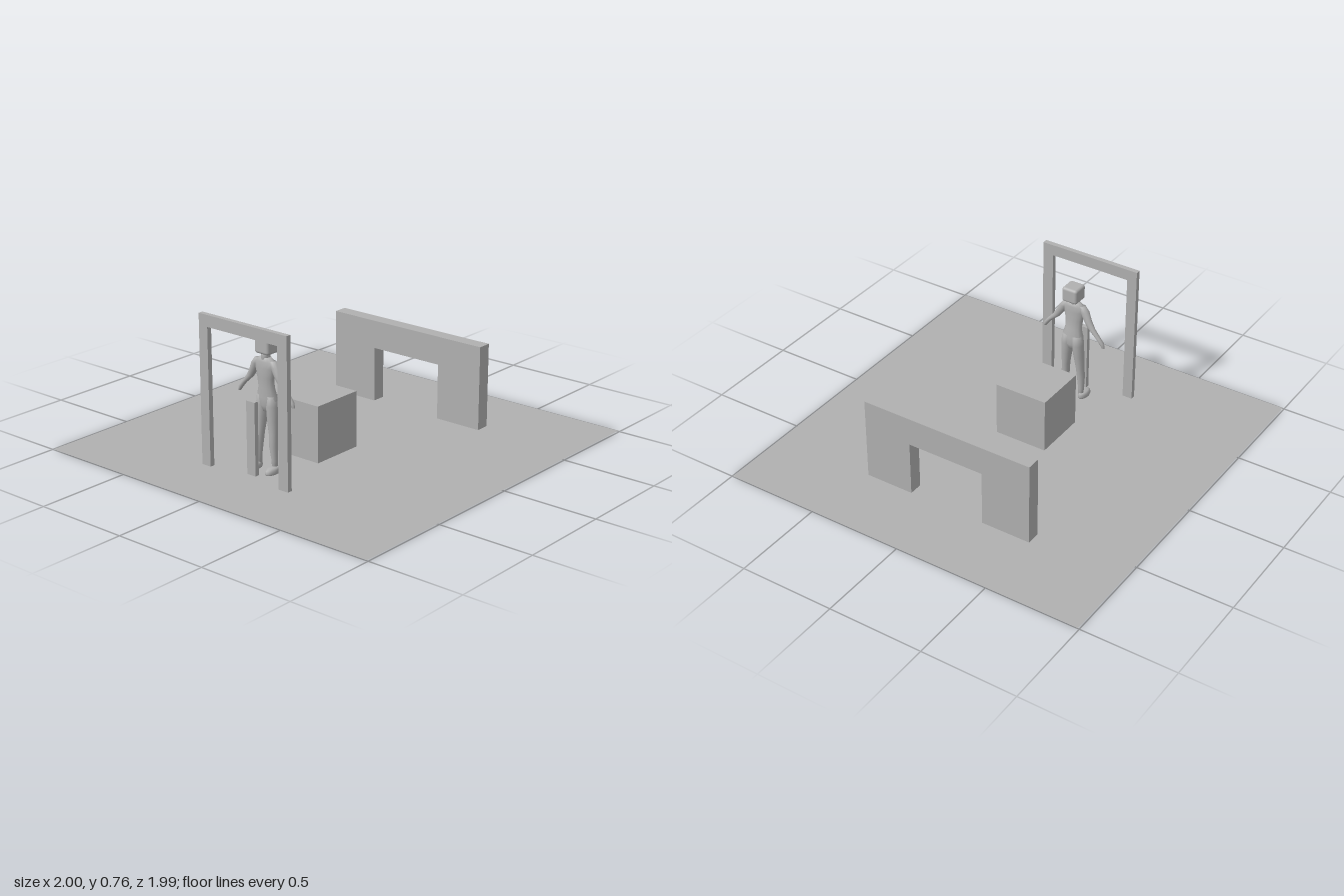
import * as THREE from 'three';
import { RoundedBoxGeometry } from 'three/addons/geometries/RoundedBoxGeometry.js';

const grey = new THREE.MeshStandardMaterial({ color: 0xb0b0b0, side: THREE.DoubleSide });
grey.name = 'plain grey';

function add(parent, name, geometry, x = 0, y = 0, z = 0) {
  const mesh = new THREE.Mesh(geometry, grey);
  mesh.name = name;
  mesh.position.set(x, y, z);
  parent.add(mesh);
  return mesh;
}

// Box given by its lower and upper corners
function block(parent, name, x0, x1, y0, y1, z0, z1) {
  const g = new THREE.BoxGeometry(x1 - x0, y1 - y0, z1 - z0);
  return add(parent, name, g, (x0 + x1) / 2, (y0 + y1) / 2, (z0 + z1) / 2);
}

// Doorway: outline in the z-y plane, extruded along x
function doorway(parent, name, x0, x1, z0, z1, top, in0, in1, inTop) {
  const pts = [[z0, 0], [in0, 0], [in0, inTop], [in1, inTop], [in1, 0], [z1, 0], [z1, top], [z0, top]];
  const shape = new THREE.Shape(pts.map(([z, y]) => new THREE.Vector2(-z, y)));
  const g = new THREE.ExtrudeGeometry(shape, { depth: x1 - x0, bevelEnabled: false });
  g.rotateY(Math.PI / 2);
  return add(parent, name, g, x0);
}

// Smooth limb through elliptical rings [x, y, z, rx, rz], listed from bottom to top
function loft(parent, name, rings, sides = 14) {
  const pos = [], idx = [];
  const all = [[...rings[0].slice(0, 3), 0, 0], ...rings, [...rings.at(-1).slice(0, 3), 0, 0]];
  for (const [x, y, z, rx, rz] of all) {
    for (let i = 0; i < sides; i++) {
      const a = (i / sides) * Math.PI * 2;
      pos.push(x + rx * Math.cos(a), y, z + rz * Math.sin(a));
    }
  }
  for (let r = 0; r < all.length - 1; r++) {
    for (let i = 0; i < sides; i++) {
      const a = r * sides + i, b = r * sides + (i + 1) % sides;
      idx.push(a, a + sides, b, b, a + sides, b + sides);
    }
  }
  const g = new THREE.BufferGeometry();
  g.setAttribute('position', new THREE.Float32BufferAttribute(pos, 3));
  g.setIndex(idx);
  g.computeVertexNormals();
  return add(parent, name, g);
}

function createFigure() {
  const figure = new THREE.Group();
  figure.name = 'figure';
  const cz = -0.02;

  // Head, neck and torso
  add(figure, 'head', new RoundedBoxGeometry(0.09, 0.081, 0.088, 3, 0.014), -0.502, 0.628, cz);
  loft(figure, 'neck', [[-0.515, 0.55, cz, 0.024, 0.022], [-0.513, 0.6, cz, 0.024, 0.021]]);
  loft(figure, 'torso', [
    [-0.505, 0.3, cz, 0.022, 0.03],
    [-0.505, 0.33, cz, 0.032, 0.058],
    [-0.506, 0.37, cz, 0.034, 0.06],
    [-0.51, 0.42, cz, 0.028, 0.046],
    [-0.514, 0.47, cz, 0.028, 0.05],
    [-0.515, 0.52, cz, 0.029, 0.062],
    [-0.514, 0.55, cz, 0.027, 0.064],
    [-0.514, 0.57, cz, 0.022, 0.03],
  ]);

  for (const s of [1, -1]) {
    const side = s > 0 ? 'left' : 'right';
    // Leg, tapering from hip to ankle
    loft(figure, side + 'Leg', [
      [-0.514, 0.02, cz + s * 0.05, 0.014, 0.014],
      [-0.515, 0.06, cz + s * 0.05, 0.015, 0.015],
      [-0.517, 0.13, cz + s * 0.046, 0.022, 0.021],
      [-0.512, 0.19, cz + s * 0.042, 0.023, 0.022],
      [-0.508, 0.26, cz + s * 0.036, 0.029, 0.028],
      [-0.504, 0.33, cz + s * 0.031, 0.034, 0.031],
      [-0.504, 0.38, cz + s * 0.028, 0.032, 0.028],
    ]);
    // Foot pointing towards the door
    const fz = cz + s * 0.056;
    loft(figure, side + 'Foot', [
      [-0.538, 0, fz, 0.044, 0.023],
      [-0.538, 0.01, fz, 0.047, 0.026],
      [-0.536, 0.024, fz, 0.045, 0.024],
      [-0.532, 0.033, fz, 0.036, 0.017],
    ]);
    // Arm hanging outwards; the two arms swing slightly apart
    const swing = s > 0 ? -0.012 : 0.012;
    loft(figure, side + 'Arm', [
      [-0.514 + swing, 0.36, cz + s * 0.182, 0.007, 0.008],
      [-0.514 + swing, 0.385, cz + s * 0.17, 0.012, 0.014],
      [-0.513 + swing, 0.41, cz + s * 0.15, 0.012, 0.015],
      [-0.513 + swing * 0.8, 0.45, cz + s * 0.11, 0.014, 0.021],
      [-0.514 + swing * 0.5, 0.49, cz + s * 0.083, 0.017, 0.023],
      [-0.515, 0.53, cz + s * 0.06, 0.02, 0.026],
      [-0.515, 0.557, cz + s * 0.043, 0.017, 0.023],
    ]);
  }
  return figure;
}

export function createModel() {
  const model = new THREE.Group();
  model.name = 'courtyard';
  const cube = { x0: -0.305, x1: -0.016, z0: -0.165, z1: 0.121 };
  const groundY = 0.003;

  // Ground sheet with an opening under the cube
  const sheet = new THREE.Shape([[-1, -0.993], [1, -0.993], [1, 0.993], [-1, 0.993]]
    .map(([x, y]) => new THREE.Vector2(x, y)));
  const { x0, x1, z0, z1 } = cube;
  sheet.holes.push(new THREE.Path([[x0, -z0], [x1, -z0], [x1, -z1], [x0, -z1]]
    .map(([x, y]) => new THREE.Vector2(x, y))));
  add(model, 'ground', new THREE.ShapeGeometry(sheet).rotateX(-Math.PI / 2), 0, groundY, 0);

  // Hollow cube without a bottom
  const box = block(model, 'cube', x0, x1, groundY, 0.294, z0, z1);
  const index = Array.from(box.geometry.index.array);
  index.splice(18, 6);
  box.geometry.setIndex(index);
  box.geometry.clearGroups();

  // Thick archway, slim door frame and small post
  doorway(model, 'archway', 0.553, 0.626, -0.492, 0.447, 0.443, -0.227, 0.187, 0.294);
  doorway(model, 'doorFrame', -0.668, -0.642, -0.3, 0.25, 0.765, -0.246, 0.192, 0.706);
  block(model, 'post', -0.621, -0.598, 0, 0.374, -0.05, 0.003);

  model.add(createFigure());
  return model;
}
